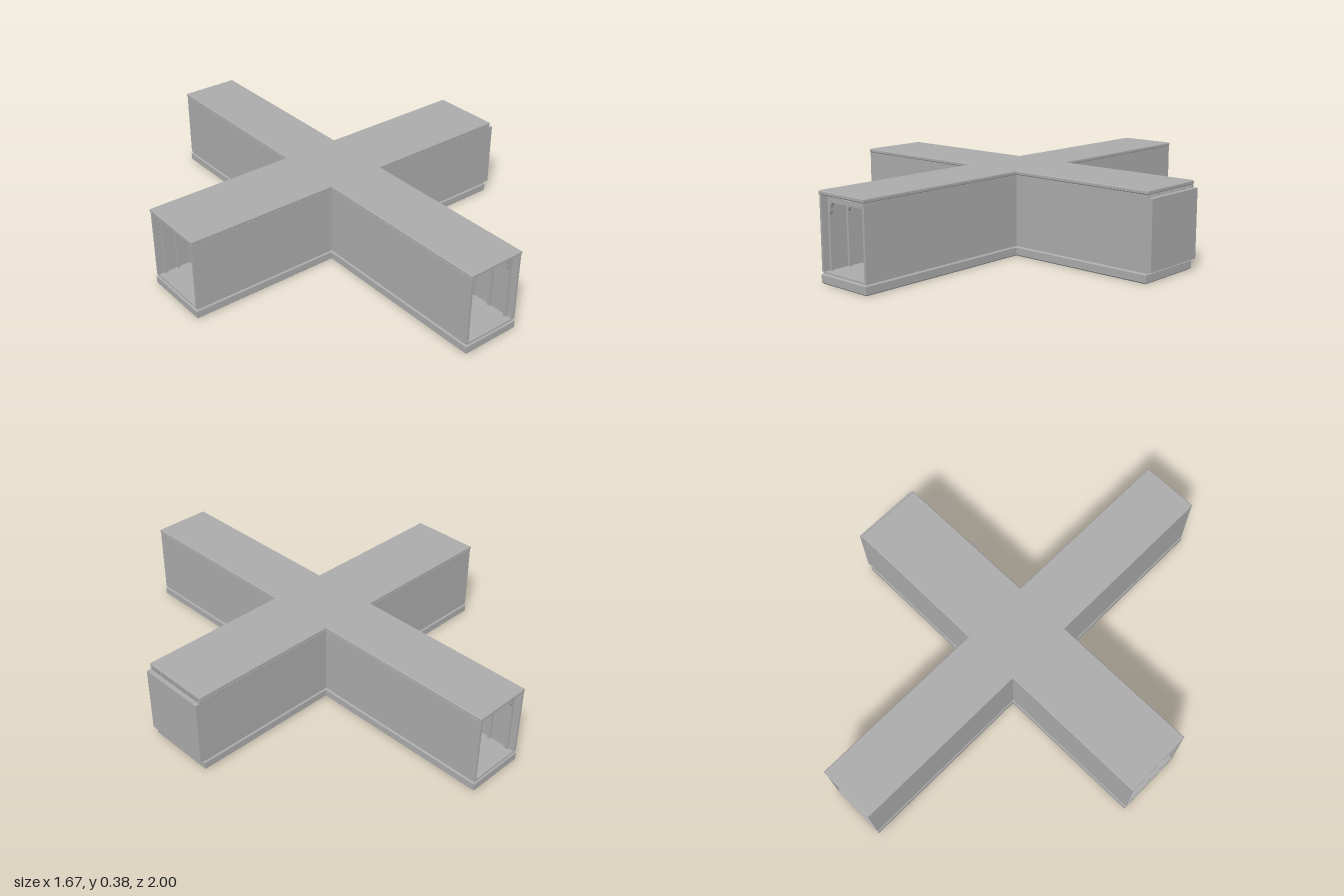
import * as THREE from 'three';

// Corridor limits: the z corridor spans XL..XR, the x corridor spans -ZW..ZW
const XL = -0.14, XR = 0.13, ZW = 0.16, X0 = -0.835, X1 = 0.815, Z1 = 1;
const CX = (XL + XR) / 2, FLOOR = 0.05, CEILING = 0.357, WALL = 0.012;

function crossShape(inset) {
  const l = XL + inset, r = XR - inset, w = ZW - inset, z = Z1 - inset;
  const points = [
    [l, -z], [r, -z], [r, -w], [X1 - inset, -w], [X1 - inset, w], [r, w],
    [r, z], [l, z], [l, w], [X0 + inset, w], [X0 + inset, -w], [l, -w],
  ];
  return new THREE.Shape(points.map(([x, y]) => new THREE.Vector2(x, y)));
}

// Cross-shaped plate with a small chamfer round its rim
function crossPlate(y0, y1, inset, bevel) {
  const geometry = new THREE.ExtrudeGeometry(crossShape(inset), {
    depth: y1 - y0 - 2 * bevel, bevelEnabled: bevel > 0,
    bevelThickness: bevel, bevelSize: bevel, bevelOffset: -bevel, bevelSegments: 1,
  });
  geometry.rotateX(-Math.PI / 2);
  geometry.translate(0, y0 + bevel, 0);
  return geometry;
}

// Arch-like rib with rounded upper corners and small shoulder brackets
function ribGeometry(depth) {
  const h = (XR - XL) / 2 - 0.008, i = 0.113;
  const s = new THREE.Shape();
  s.moveTo(-h, FLOOR);
  s.lineTo(-i, FLOOR);
  s.lineTo(-i, 0.275);
  s.lineTo(-i + 0.005, 0.29);
  s.quadraticCurveTo(-i + 0.005, 0.325, -i + 0.025, 0.325);
  s.lineTo(i - 0.025, 0.325);
  s.quadraticCurveTo(i - 0.005, 0.325, i - 0.005, 0.29);
  s.lineTo(i, 0.275);
  s.lineTo(i, FLOOR);
  s.lineTo(h, FLOOR);
  s.lineTo(h, CEILING);
  s.lineTo(-h, CEILING);
  return new THREE.ExtrudeGeometry(s, { depth, bevelEnabled: false, curveSegments: 5 })
    .translate(CX, 0, -depth / 2);
}

export function createModel() {
  const model = new THREE.Group();
  const grey = new THREE.MeshStandardMaterial({ color: 0xaaaaaa });
  grey.name = 'plain grey';

  const add = (name, geometry, x = 0, y = 0, z = 0) => {
    const mesh = new THREE.Mesh(geometry, grey);
    mesh.name = name;
    mesh.position.set(x, y, z);
    model.add(mesh);
    return mesh;
  };
  const box = (name, x0, x1, y0, y1, z0, z1) => add(name,
    new THREE.BoxGeometry(x1 - x0, y1 - y0, z1 - z0),
    (x0 + x1) / 2, (y0 + y1) / 2, (z0 + z1) / 2);

  // Floor slab, recessed joint above it and roof slab
  add('floorSlab', crossPlate(0, 0.043, 0, 0.006));
  add('floorJoint', crossPlate(0.043, FLOOR, 0.006, 0));
  add('roofSlab', crossPlate(CEILING, 0.375, 0, 0.004));

  // Walls of the four arms, meeting at the inner corners
  const out = 0.002;
  for (const side of [-1, 1]) {
    const za = side < 0 ? -Z1 + out : ZW - WALL;
    const zb = side < 0 ? -ZW + WALL : Z1 - out;
    box('longCorridorWall', XL + out, XL + WALL, FLOOR, CEILING, za, zb);
    box('longCorridorWall', XR - WALL, XR - out, FLOOR, CEILING, za, zb);

    const wa = side < 0 ? -ZW + out : ZW - WALL;
    const wb = side < 0 ? -ZW + WALL : ZW - out;
    box('crossCorridorWall', X0 + out, XL + WALL, FLOOR, CEILING, wa, wb);
    box('crossCorridorWall', XR - WALL, X1, FLOOR, CEILING, wa, wb);
  }

  // Closing panel on the left arm, with a slit left open above it
  box('endPanel', X1, 0.835, FLOOR, 0.345, -ZW + out, ZW - out);

  // Full ribs along the long corridor
  const rib = ribGeometry(0.014);
  for (const side of [-1, 1]) {
    for (let i = 0; i < 9; i++) add('archRib', rib, 0, 0, side * (0.96 - i * 0.09));
    // Flat oval lamp above the entrance
    const lamp = add('entranceLamp', new THREE.CylinderGeometry(0.03, 0.03, 0.008, 24),
      CX, 0.343, side * 0.968);
    lamp.scale.z = 0.25;
  }

  // Upright ribs along the short corridor
  for (const side of [-1, 1]) {
    const z = side * (ZW - WALL - 0.004);
    for (let i = 0; i < 11; i++) {
      const step = 0.04 + i * 0.06;
      box('uprightRib', X0 + step - 0.006, X0 + step + 0.006, FLOOR, CEILING, z - 0.005, z + 0.005);
      box('uprightRib', X1 - step - 0.006, X1 - step + 0.006, FLOOR, CEILING, z - 0.005, z + 0.005);
    }
  }
  return model;
}
